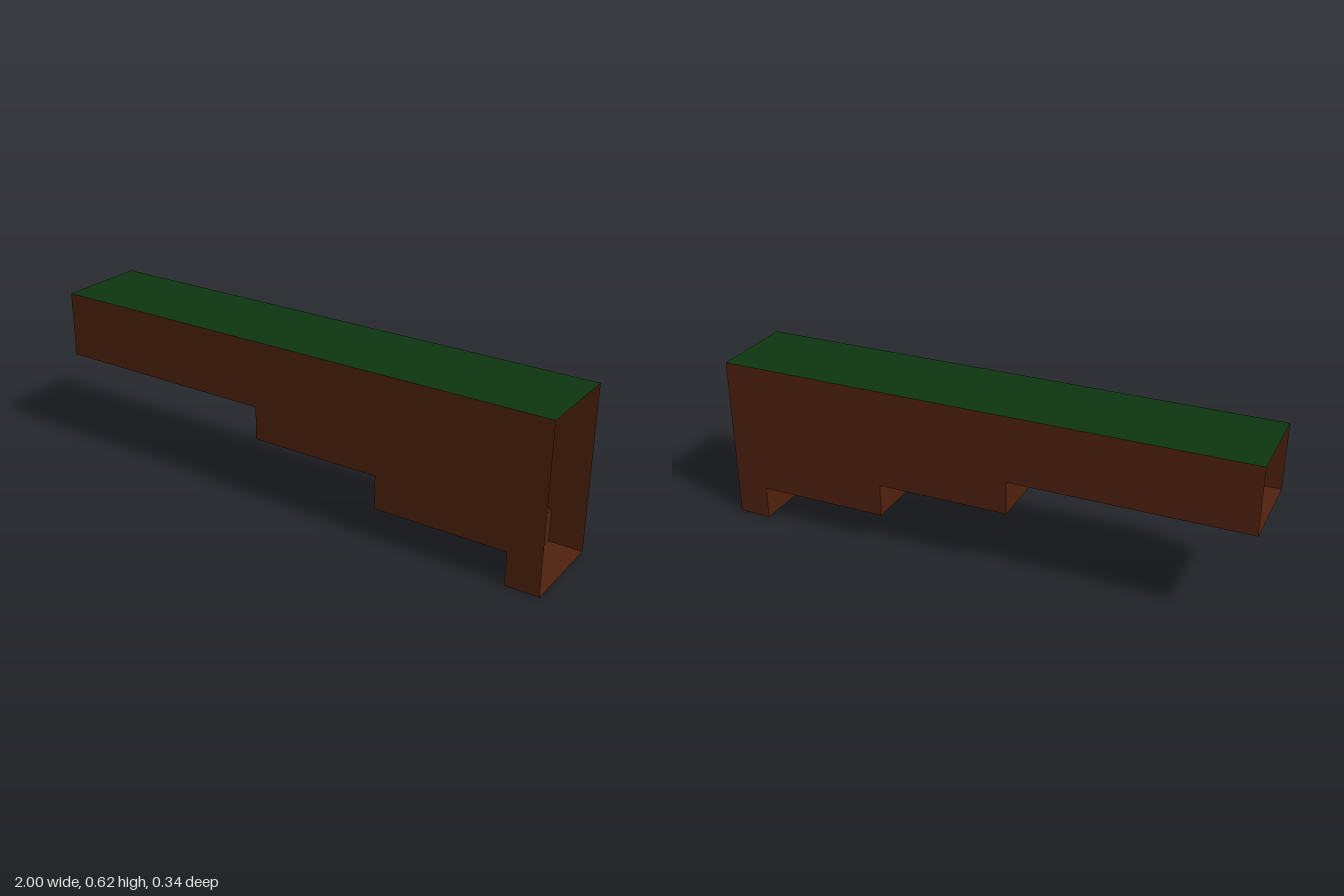
import * as THREE from 'three';

export function createModel() {
  const model = new THREE.Group();
  const earth = new THREE.MeshStandardMaterial({ name: 'earth brown', color: 0x50210e, side: THREE.DoubleSide });
  const grass = new THREE.MeshStandardMaterial({ name: 'grass green', color: 0x0d3610, side: THREE.DoubleSide });

  const TOP = 0.625, DEPTH = 0.34, HALF = DEPTH / 2;
  // stepped underside, from the shallow end to the deep end
  const steps = [
    [-1, 0.375], [-0.125, 0.375],
    [-0.125, 0.25], [0.375, 0.25],
    [0.375, 0.125], [0.875, 0.125],
    [0.875, 0], [1, 0],
  ];

  function add(name, geometry, material) {
    const mesh = new THREE.Mesh(geometry, material);
    mesh.name = name;
    model.add(mesh);
    return mesh;
  }

  // Front and back walls share the stepped outline
  const outline = new THREE.Shape(
    [...steps, [1, TOP], [-1, TOP]].map(([x, y]) => new THREE.Vector2(x, y)));
  add('frontWall', new THREE.ShapeGeometry(outline), earth).position.z = HALF;
  const back = add('backWall', new THREE.ShapeGeometry(outline).scale(-1, 1, 1), earth);
  back.rotation.y = Math.PI;
  back.position.z = -HALF;
  // restore outward winding after the mirror
  const index = back.geometry.index;
  for (let i = 0; i < index.count; i += 3) {
    const a = index.getX(i);
    index.setX(i, index.getX(i + 2));
    index.setX(i + 2, a);
  }

  // Treads and risers of the underside; both ends stay open
  for (let i = 0; i < steps.length - 1; i++) {
    const [x0, y0] = steps[i], [x1, y1] = steps[i + 1];
    const flat = y0 === y1;
    const geometry = flat
      ? new THREE.PlaneGeometry(x1 - x0, DEPTH).rotateX(Math.PI / 2)
      : new THREE.PlaneGeometry(DEPTH, y0 - y1).rotateY(-Math.PI / 2);
    add(flat ? 'undersideTread' : 'undersideRiser', geometry, earth)
      .position.set((x0 + x1) / 2, (y0 + y1) / 2, 0);
  }

  // Grassy top
  add('grassTop', new THREE.PlaneGeometry(2, DEPTH).rotateX(-Math.PI / 2), grass).position.y = TOP;

  return model;
}
